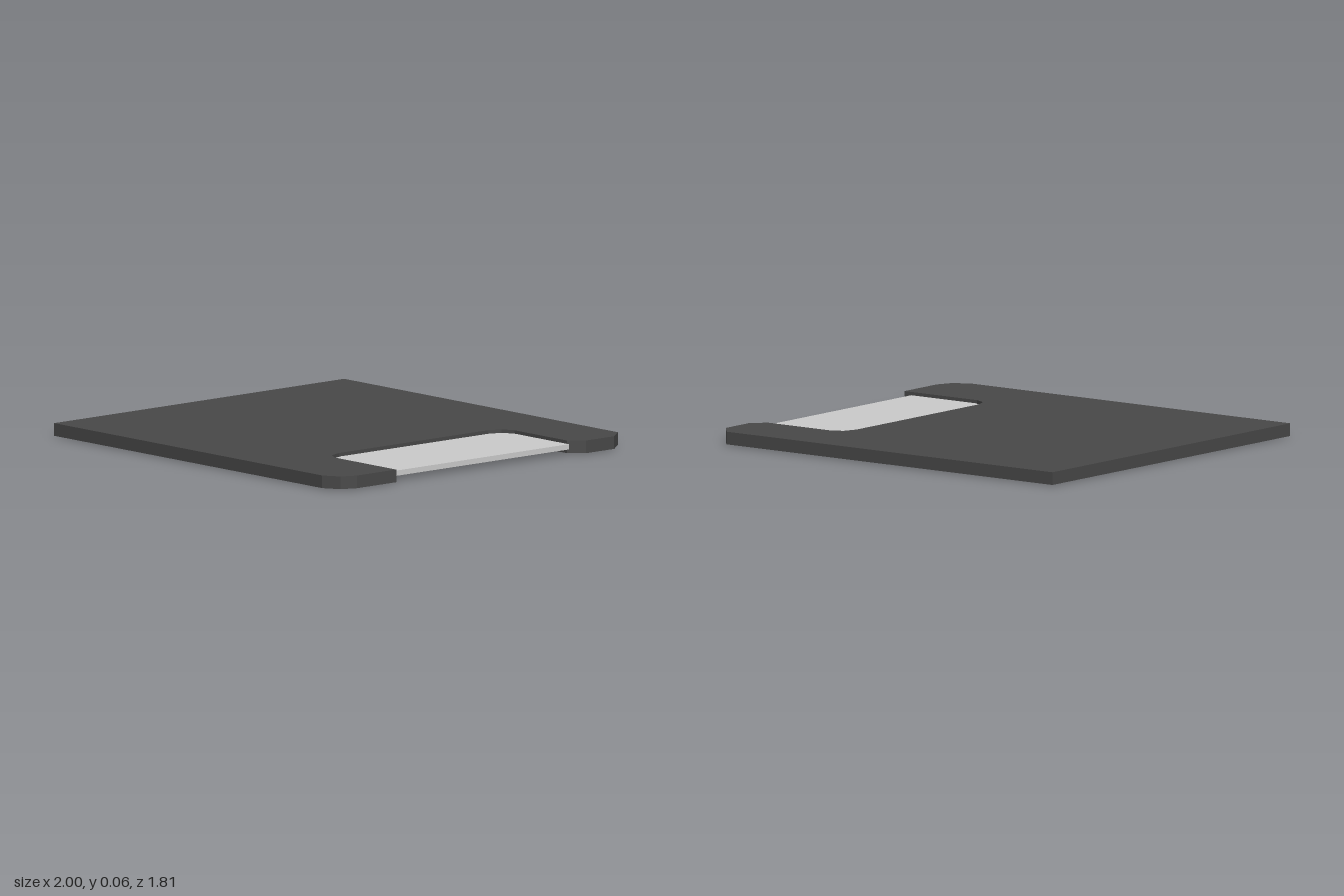
import * as THREE from 'three';

const darkMat = new THREE.MeshStandardMaterial({ color: 0x484848 });
const greyMat = new THREE.MeshStandardMaterial({ color: 0xcccccc });

// Flat plate from an [x, z] outline, spanning y0 to y1
function plate(name, outline, y0, y1, material) {
  const shape = new THREE.Shape(outline.map(([x, z]) => new THREE.Vector2(x, -z)));
  const geometry = new THREE.ExtrudeGeometry(shape, { depth: y1 - y0, bevelEnabled: false });
  geometry.rotateX(-Math.PI / 2).translate(0, y0, 0);
  const mesh = new THREE.Mesh(geometry, material);
  mesh.name = name;
  return mesh;
}

export function createModel() {
  const group = new THREE.Group();
  group.name = 'diskCartridge';

  // Inner edge of the notch, with clipped corners
  const notch = [
    [0.57, -0.578], [0.512, -0.55], [0.488, -0.485],
    [0.488, 0.445], [0.512, 0.51], [0.57, 0.54],
  ];

  // Case with clipped outer corners and the notch in its +x edge
  group.add(plate('caseBody', [
    [-1, 0.905], [-1, -0.905], [0.93, -0.905], [1, -0.82], [1, -0.645], [0.94, -0.578],
    ...notch,
    [1, 0.54], [1, 0.785], [0.97, 0.86], [0.89, 0.905],
  ], 0.005, 0.065, darkMat));

  // Thin shutter panel set in the notch, leaving a narrow gap
  const inset = notch.map(([x, z]) => [x + 0.008, z - Math.sign(z) * 0.003]);
  group.add(plate('shutterPanel', [[0.957, -0.575], ...inset, [0.957, 0.537]], 0.025, 0.05, greyMat));

  // Eight-sided hub standing slightly proud of the underside
  const hubGeometry = new THREE.CylinderGeometry(0.23, 0.23, 0.02, 8).toNonIndexed();
  hubGeometry.computeVertexNormals();
  const hub = new THREE.Mesh(hubGeometry, greyMat);
  hub.name = 'hub';
  hub.position.set(-0.325, 0.01, 0);
  group.add(hub);

  return group;
}
